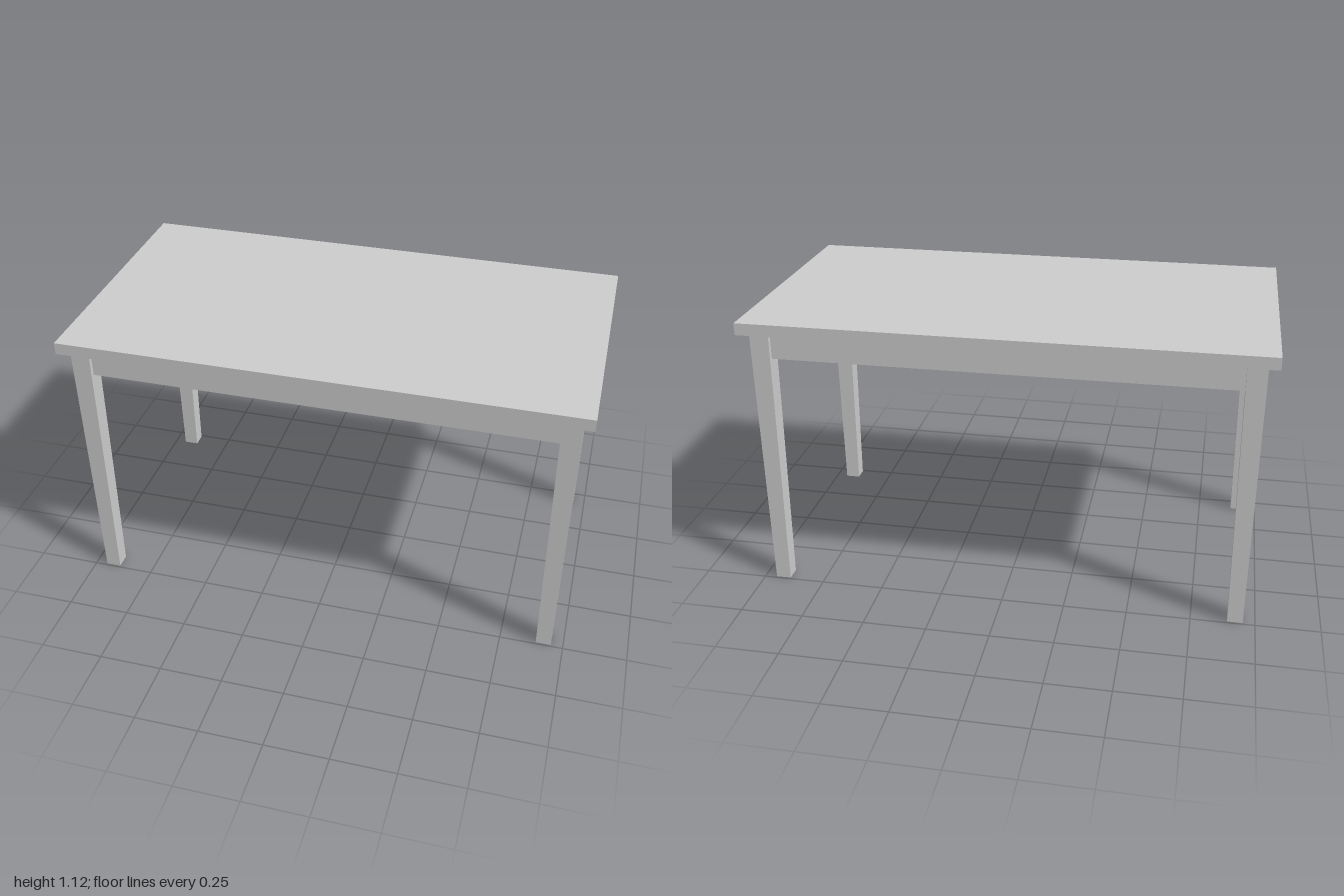
import * as THREE from 'three';

const material = new THREE.MeshStandardMaterial({ color: 0xcccccc, flatShading: true });

const TOP_Y = 1.125, UNDER_Y = 1.078; // tabletop faces
const APRON_Y = 0.97;                 // lower edge of the aprons
const LEG_X = 0.923, LEG_Z = 0.462;   // leg centres
const LEG_TOP = 0.075, LEG_FOOT = 0.06;

function addBox(group, name, w, h, d, x, y, z) {
  const mesh = new THREE.Mesh(new THREE.BoxGeometry(w, h, d), material);
  mesh.name = name;
  mesh.position.set(x, y, z);
  group.add(mesh);
  return mesh;
}

// Square leg narrowing evenly towards the foot
function addLeg(group, name, x, z) {
  const leg = addBox(group, name, LEG_TOP, UNDER_Y, LEG_TOP, x, UNDER_Y / 2, z);
  const pos = leg.geometry.attributes.position;
  const taper = LEG_FOOT / LEG_TOP;
  for (let i = 0; i < pos.count; i++) {
    if (pos.getY(i) < 0) {
      pos.setX(i, pos.getX(i) * taper);
      pos.setZ(i, pos.getZ(i) * taper);
    }
  }
  leg.geometry.computeVertexNormals();
}

export function createModel() {
  const table = new THREE.Group();
  table.name = 'table';

  addBox(table, 'tabletop', 2, TOP_Y - UNDER_Y, 1.074, 0, (TOP_Y + UNDER_Y) / 2, 0);

  for (const [sx, side] of [[1, 'Left'], [-1, 'Right']]) {
    addLeg(table, 'front' + side + 'Leg', sx * LEG_X, LEG_Z);
    addLeg(table, 'back' + side + 'Leg', sx * LEG_X, -LEG_Z);
  }

  // Aprons run between the legs, set back from their outer faces
  const h = UNDER_Y - APRON_Y, y = (UNDER_Y + APRON_Y) / 2, t = 0.04;
  const longSpan = 2 * LEG_X - LEG_TOP, shortSpan = 2 * LEG_Z - LEG_TOP;
  for (const s of [1, -1]) {
    addBox(table, s > 0 ? 'frontApron' : 'backApron', longSpan, h, t, 0, y, s * LEG_Z);
    addBox(table, s > 0 ? 'leftApron' : 'rightApron', t, h, shortSpan, s * LEG_X, y, 0);
  }
  return table;
}
